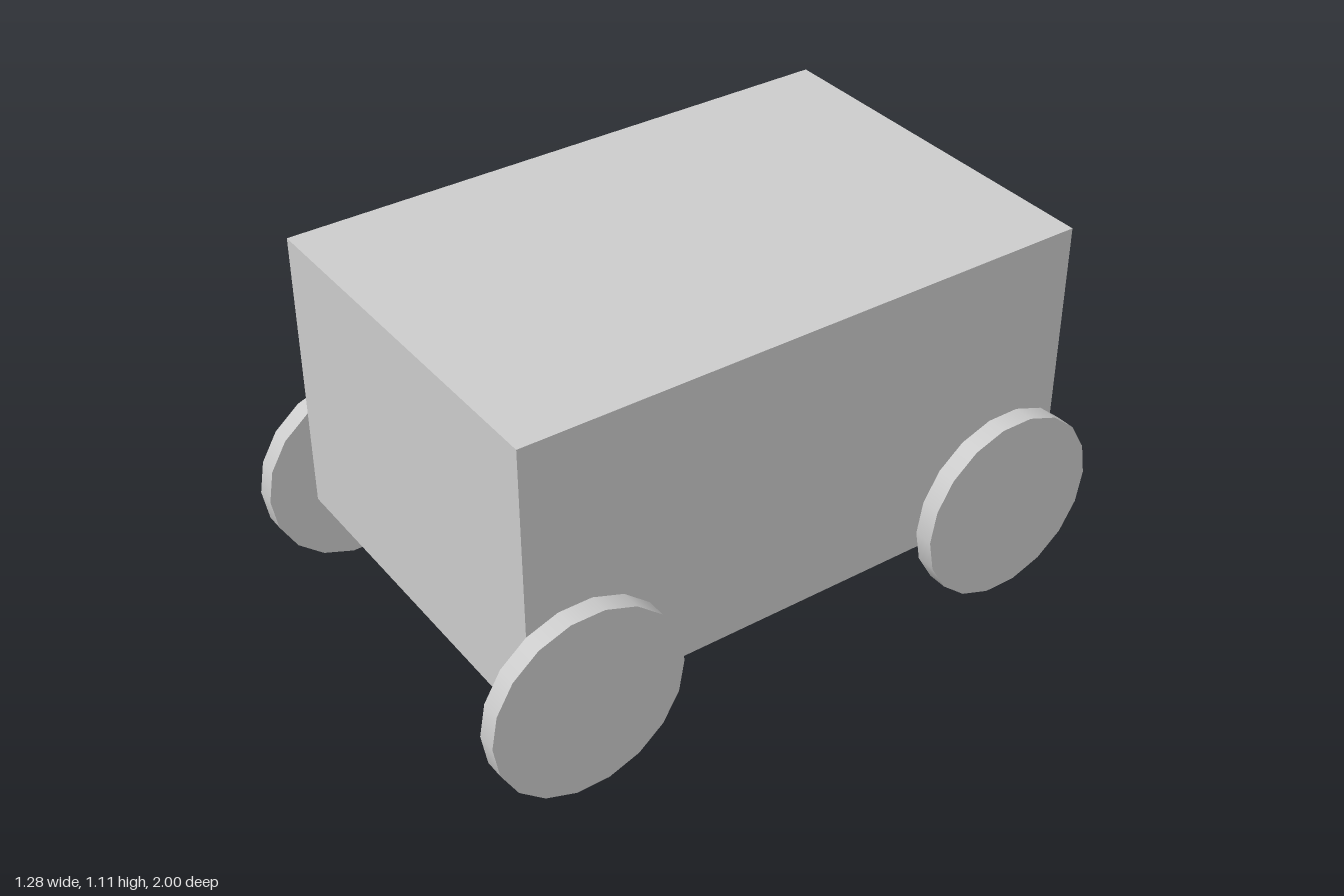
import * as THREE from 'three';

export function createModel() {
  const model = new THREE.Group();
  model.name = 'cart';
  const material = new THREE.MeshStandardMaterial({ color: 0xcccccc });

  // Box body, set slightly towards the back
  const body = new THREE.Mesh(new THREE.BoxGeometry(1.164, 0.875, 1.75), material);
  body.name = 'body';
  body.position.set(0, 0.673, -0.021);
  model.add(body);

  // Four 18-sided disc wheels against the body sides
  const radius = 0.291;
  const wheelGeometry = new THREE.CylinderGeometry(radius, radius, 0.059, 18);
  wheelGeometry.rotateZ(Math.PI / 2);
  for (const [end, z] of [['front', 0.709], ['back', -0.709]]) {
    for (const [side, x] of [['Left', 0.6115], ['Right', -0.6115]]) {
      const wheel = new THREE.Mesh(wheelGeometry, material);
      wheel.name = `${end}${side}Wheel`;
      // The wheels rest on a flat facet
      wheel.position.set(x, radius * Math.cos(Math.PI / 18), z);
      model.add(wheel);
    }
  }
  return model;
}
